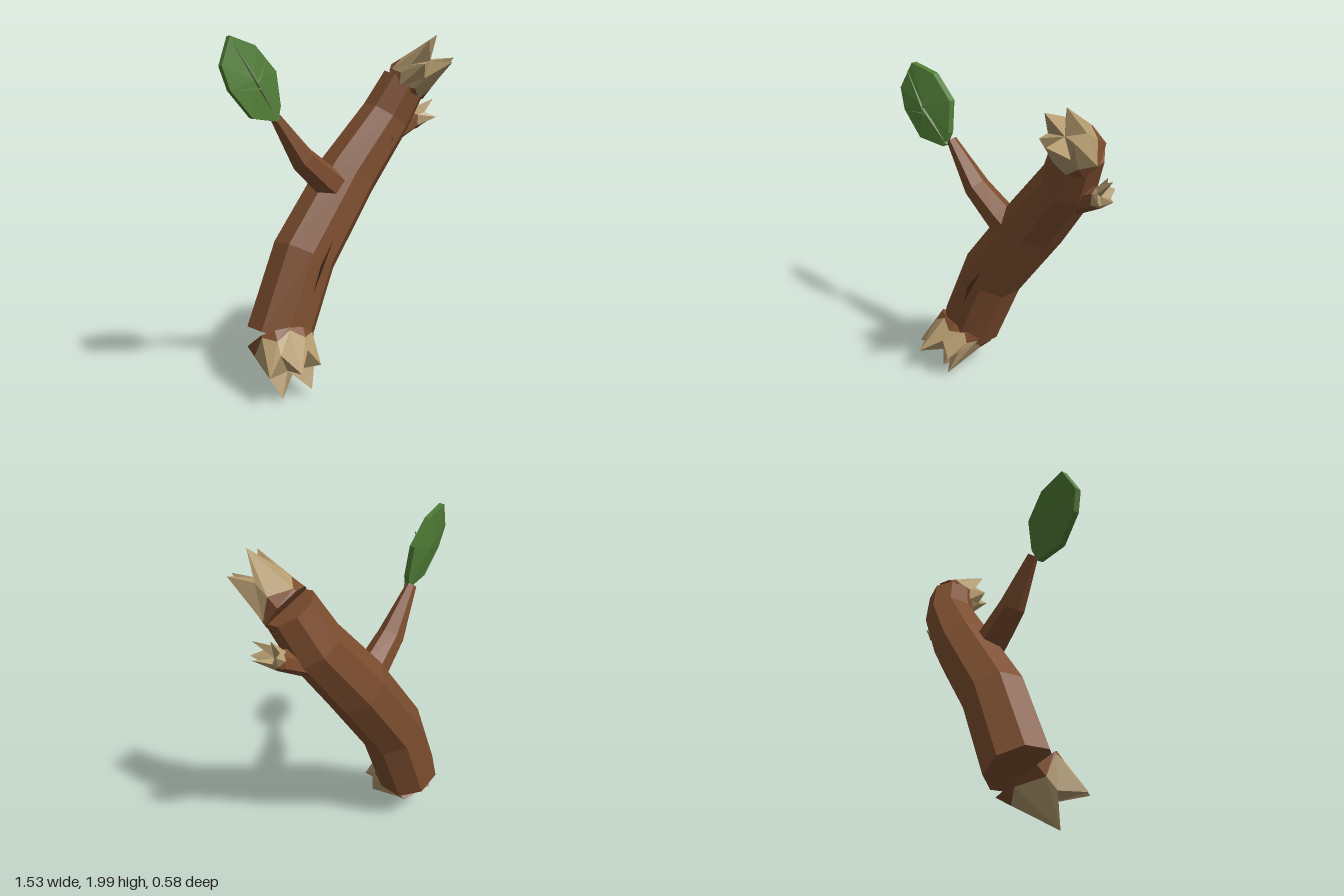
import * as THREE from 'three';

const V = (p) => new THREE.Vector3(...p);
const mat = (color) => new THREE.MeshStandardMaterial({ color, flatShading: true, side: THREE.DoubleSide });
const BARK = mat(0x7d4e2f), DARK = mat(0x4a2c1a), WOOD = mat(0xb59c70), LEAF = mat(0x507d36), VEIN = mat(0x64854a);

function mesh(name, tris, material) {
  const g = new THREE.BufferGeometry().setFromPoints(tris);
  g.computeVertexNormals();
  const m = new THREE.Mesh(g, material);
  m.name = name;
  return m;
}

// Triangles joining consecutive rings, with optional fan ends
function loft(rings, startPoint, endPoint) {
  const out = [], n = rings[0].length;
  for (let i = 0; i < n; i++) {
    const j = (i + 1) % n;
    for (let k = 0; k + 1 < rings.length; k++) {
      const a = rings[k], b = rings[k + 1];
      out.push(a[i], a[j], b[j], a[i], b[j], b[i]);
    }
    const last = rings[rings.length - 1];
    if (startPoint) out.push(rings[0][j], rings[0][i], startPoint);
    if (endPoint) out.push(last[i], last[j], endPoint);
  }
  return out;
}

// Two axes across a direction
function frame(t) {
  const u = new THREE.Vector3(0, 0, 1).addScaledVector(t, -t.z).normalize();
  return [u, new THREE.Vector3().crossVectors(t, u)];
}
const around = (c, [u, v], r, a) =>
  c.clone().addScaledVector(u, r * Math.cos(a)).addScaledVector(v, r * Math.sin(a));

// Faceted limb through [x, y, z, radius] stations
function limb(name, stations, sides, material) {
  const c = stations.map((s) => V(s.slice(0, 3)));
  const rings = c.map((p, k) => {
    const t = c[Math.min(k + 1, c.length - 1)].clone().sub(c[Math.max(k - 1, 0)]).normalize();
    const f = frame(t);
    return Array.from({ length: sides }, (_, i) =>
      around(p, f, stations[k][3], ((i + 0.5) / sides) * Math.PI * 2));
  });
  return mesh(name, loft(rings, c[0], c[c.length - 1]), material);
}

// Broken end: bark collar, jagged splinters and a sunken core
function brokenEnd(name, centre, axis, radius, tips, dip) {
  const c = V(centre), t = V(axis).normalize(), f = frame(t);
  const sorted = tips.map((p) => {
    const tip = V(p), d = tip.clone().sub(c);
    return { tip, a: Math.atan2(d.dot(f[1]), d.dot(f[0])) };
  }).sort((p, q) => p.a - q.a);
  const base = [], collar = [], edge = [];
  sorted.forEach((s, i) => {
    const next = sorted[(i + 1) % sorted.length];
    const nextA = next.a + (i + 1 === sorted.length ? Math.PI * 2 : 0);
    const b0 = around(c, f, radius, s.a), b1 = around(c, f, radius, (s.a + nextA) / 2);
    const valley = b1.clone().lerp(s.tip.clone().lerp(next.tip, 0.5), 0.55);
    base.push(b0, b1);
    collar.push(b0.clone().lerp(s.tip, 0.06), b1.clone().lerp(valley, 0.45));
    edge.push(s.tip, valley);
  });
  const g = new THREE.Group();
  g.name = name;
  g.add(mesh('barkCollar', loft([base, collar], c), BARK));
  g.add(mesh('splinters', loft([collar, edge], null, c.clone().addScaledVector(t, dip)), WOOD));
  return g;
}

// Raised diamond-shaped scar in the bark
function scar(from, to, peak, width) {
  const a = V(from), b = V(to), p = V(peak);
  const side = b.clone().sub(a).cross(new THREE.Vector3(0, 0, 1)).setLength(width);
  const mid = a.clone().lerp(b, 0.5);
  mid.z -= 0.05;
  const l = mid.clone().sub(side), r = mid.clone().add(side);
  return mesh('barkScar', [a, r, p, r, b, p, b, l, p, l, a, p], DARK);
}

export function createModel() {
  const model = new THREE.Group();

  // Trunk and side limbs
  model.add(limb('trunk', [
    [-0.36, 0.31, -0.08, 0.19], [-0.17, 0.75, -0.1, 0.19], [0.16, 1.19, -0.12, 0.18],
    [0.42, 1.52, -0.085, 0.155], [0.52, 1.73, -0.03, 0.14],
  ], 8, BARK));
  model.add(limb('branch', [
    [0.03, 1.12, -0.06, 0.095], [-0.06, 1.18, -0.05, 0.09],
    [-0.23, 1.31, -0.03, 0.075], [-0.42, 1.55, -0.01, 0.03],
  ], 6, BARK));
  model.add(limb('twig', [[0.44, 1.42, -0.09, 0.08], [0.63, 1.5, -0.07, 0.055]], 6, BARK));

  // Splintered ends
  model.add(brokenEnd('lowerEnd', [-0.37, 0.29, -0.05], [-0.15, -0.78, 0.62], 0.19, [
    [-0.58, 0.18, 0.17], [-0.45, 0.21, 0.28], [-0.27, 0.2, 0.2],
    [-0.31, 0.06, 0.17], [-0.45, 0.01, 0.09],
  ], 0.18));
  model.add(brokenEnd('upperEnd', [0.53, 1.73, -0.02], [0.06, 0.17, 0.22], 0.14, [
    [0.6, 2.0, 0.16], [0.69, 1.87, 0.21], [0.6, 1.84, 0.29], [0.47, 1.83, 0.2], [0.5, 1.96, 0.2],
  ], 0.2));
  model.add(brokenEnd('twigEnd', [0.62, 1.495, -0.07], [0.1, 0.06, 0.04], 0.056, [
    [0.75, 1.63, -0.02], [0.76, 1.53, -0.02], [0.68, 1.62, -0.07], [0.72, 1.52, 0.04], [0.69, 1.55, -0.12],
  ], 0.04));

  // Bark scars
  model.add(scar([-0.25, 0.54, 0.08], [-0.04, 0.92, 0.05], [-0.18, 0.72, 0.105], 0.025));
  model.add(scar([0.23, 1.25, 0.02], [0.41, 1.52, 0], [0.36, 1.4, 0.06], 0.02));

  // Leaf: thin tilted slab with a slightly raised middle
  const leafZ = (x, y) => 0.03 - 0.2 * (x + 0.58) - 0.15 * (y - 1.73);
  const outline = [
    [-0.43, 1.52], [-0.4, 1.6], [-0.41, 1.78], [-0.54, 1.91],
    [-0.7, 1.95], [-0.77, 1.8], [-0.73, 1.68], [-0.6, 1.54],
  ];
  const ring = (dz) => outline.map(([x, y]) => V([x, y, leafZ(x, y) + dz]));
  const leaf = new THREE.Group();
  leaf.name = 'leaf';
  leaf.add(mesh('leafBlade', loft([ring(-0.02), ring(0.015)], V([-0.58, 1.73, -0.01]), V([-0.58, 1.73, 0.065])), LEAF));

  // Leaf veins
  leaf.add(limb('midrib', [[-0.42, 1.53, 0.03, 0.014], [-0.57, 1.72, 0.08, 0.011], [-0.7, 1.91, 0.07, 0.002]], 4, VEIN));
  leaf.add(limb('sideVein', [[-0.57, 1.72, 0.08, 0.008], [-0.5, 1.83, 0.04, 0.002]], 4, VEIN));
  leaf.add(limb('sideVein', [[-0.55, 1.69, 0.08, 0.008], [-0.69, 1.68, 0.085, 0.002]], 4, VEIN));
  model.add(leaf);

  return model;
}
